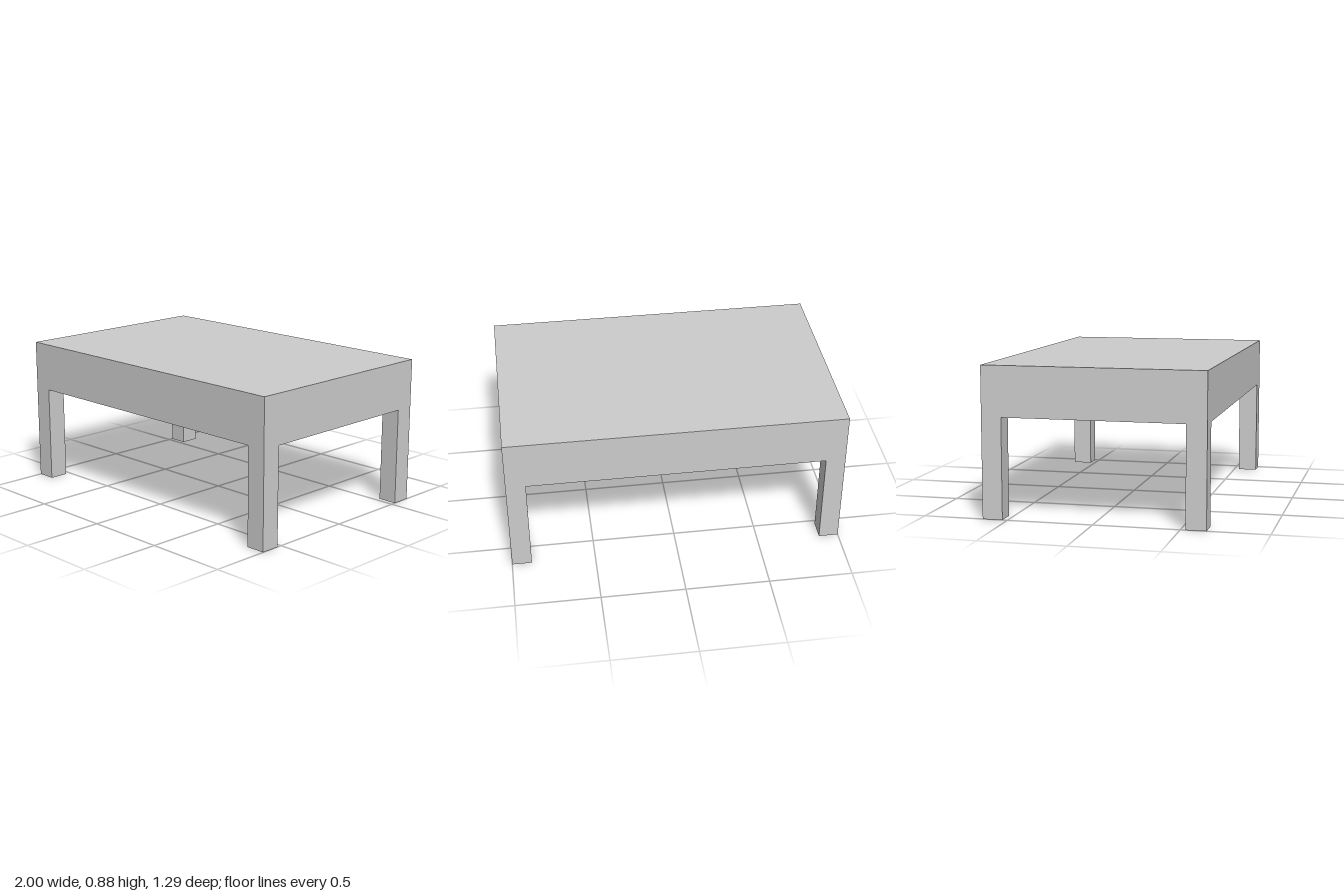
import * as THREE from 'three';

export function createModel() {
  const table = new THREE.Group();
  table.name = 'table';
  const material = new THREE.MeshStandardMaterial({ color: 0xcccccc, flatShading: true });

  const leg = 2 / 17; // leg thickness, the module for all other sizes
  const width = 17 * leg, depth = 11 * leg;
  const legHeight = 5 * leg, topHeight = 2.5 * leg;

  const addBox = (name, w, h, d, x, y, z) => {
    const mesh = new THREE.Mesh(new THREE.BoxGeometry(w, h, d), material);
    mesh.name = name;
    mesh.position.set(x, y, z);
    table.add(mesh);
  };

  // Thick solid top
  addBox('tableTop', width, topHeight, depth, 0, legHeight + topHeight / 2, 0);

  // Square legs flush with the corners
  for (const [side, sx] of [['Left', 1], ['Right', -1]]) {
    for (const [end, sz] of [['front', 1], ['back', -1]]) {
      addBox(`${end}${side}Leg`, leg, legHeight, leg,
        sx * (width - leg) / 2, legHeight / 2, sz * (depth - leg) / 2);
    }
  }
  return table;
}
